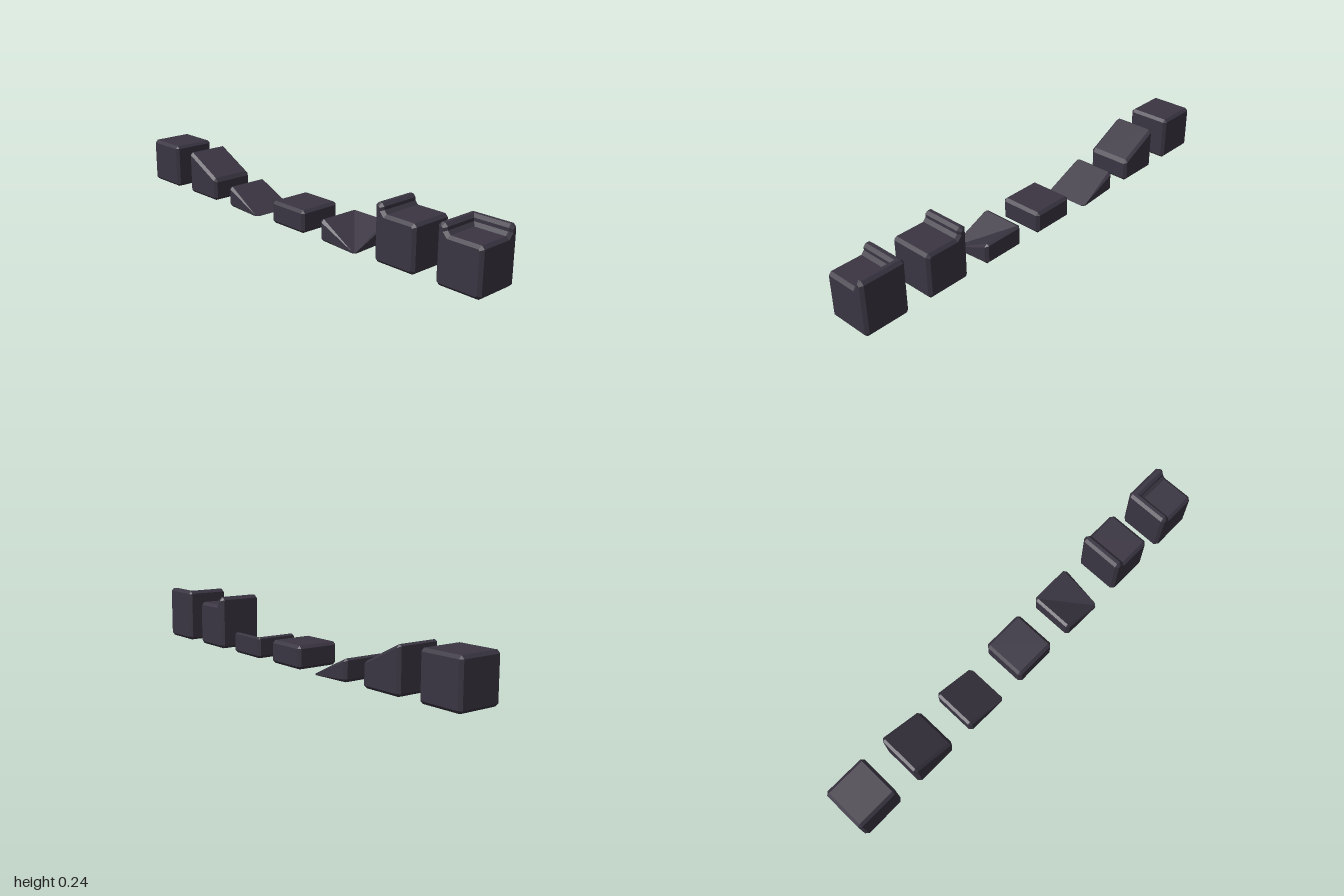
import * as THREE from 'three';
import { ConvexGeometry } from 'three/addons/geometries/ConvexGeometry.js';

const R = 0.1;     // half width of a tile
const C = 0.0125;  // chamfer
const material = new THREE.MeshStandardMaterial({ color: 0x3a3542, flatShading: true });

// Corner points of a chamfered block of height H whose top follows h(x, z)
function blockPoints(H, h) {
  const points = [];
  const add = (x, y, z) => {
    const top = h(x, z);
    const py = y > H / 2 ? top - (H - y) : Math.min(y, top);
    points.push(new THREE.Vector3(x, Math.max(py, 0), z));
  };
  for (const sx of [-1, 1]) for (const sz of [-1, 1]) for (const up of [0, 1]) {
    const y = (inset) => (up ? H - inset : inset);
    add(sx * R, y(C), sz * (R - C));
    add(sx * (R - C), y(C), sz * R);
    add(sx * (R - C), y(0), sz * (R - C));
    // chamfer midpoints, needed where a block is split along its diagonal
    add(sx * (R - C / 2), y(C), sz * (R - C / 2));
  }
  return points;
}

const block = (H, h = () => H) => new ConvexGeometry(blockPoints(H, h));

// Outline of a raised lip, from its outer top chamfer down to the floor
const lip = [[0, 0.24 - C], [C, 0.24], [0.0275, 0.24], [0.04, 0.24 - C], [0.04, 0.214], [0.053, 0.2]];

// Extrudes an outline with chamfered ends across the tile
function chamferedExtrusion(outline) {
  const shape = new THREE.Shape(outline.map(([s, y]) => new THREE.Vector2(s - R, y)));
  const geometry = new THREE.ExtrudeGeometry(shape, {
    depth: 2 * (R - C), bevelEnabled: true, bevelSegments: 1,
    bevelSize: C, bevelThickness: C, bevelOffset: -C,
  });
  return geometry.translate(0, 0, -(R - C));
}

const lippedBlock = () => chamferedExtrusion([
  [0, C], ...lip, [0.2 - C, 0.2], [0.2, 0.2 - C], [0.2, C], [0.2 - C, 0], [C, 0],
]);

export function createModel() {
  const model = new THREE.Group();
  model.name = 'terrainTiles';

  const addTile = (name, index, ...geometries) => {
    const tile = new THREE.Group();
    tile.name = name;
    tile.position.x = -0.9 + 0.3 * index;
    geometries.forEach((geometry, i) => {
      const mesh = new THREE.Mesh(geometry, material);
      mesh.name = geometries.length > 1 ? `${name}Part${i + 1}` : `${name}Block`;
      tile.add(mesh);
    });
    model.add(tile);
  };

  addTile('fullBlock', 0, block(0.2));
  addTile('upperRamp', 1, block(0.2, (x) => 0.15 - x / 2));
  addTile('lowerRamp', 2, block(0.1, (x) => 0.05 - x / 2));
  addTile('halfBlock', 3, block(0.1));

  // Inner corner ramp: two convex halves meeting in a diagonal valley
  const valley = blockPoints(0.1, (x, z) => 0.05 - Math.min(x, z) / 2);
  const halves = [1, -1].map((side) =>
    new ConvexGeometry(valley.filter((p) => side * (p.z - p.x) > -1e-6)));
  addTile('cornerRamp', 4, ...halves);

  // Block with one lip, then with two lips meeting at the back corner
  addTile('edgeBlock', 5, lippedBlock());
  const backLip = chamferedExtrusion([[0, 0.15], ...lip, [0.08, 0.2], [0.08, 0.15]]);
  backLip.rotateY(-Math.PI / 2);
  addTile('cornerEdgeBlock', 6, lippedBlock(), backLip);

  return model;
}
